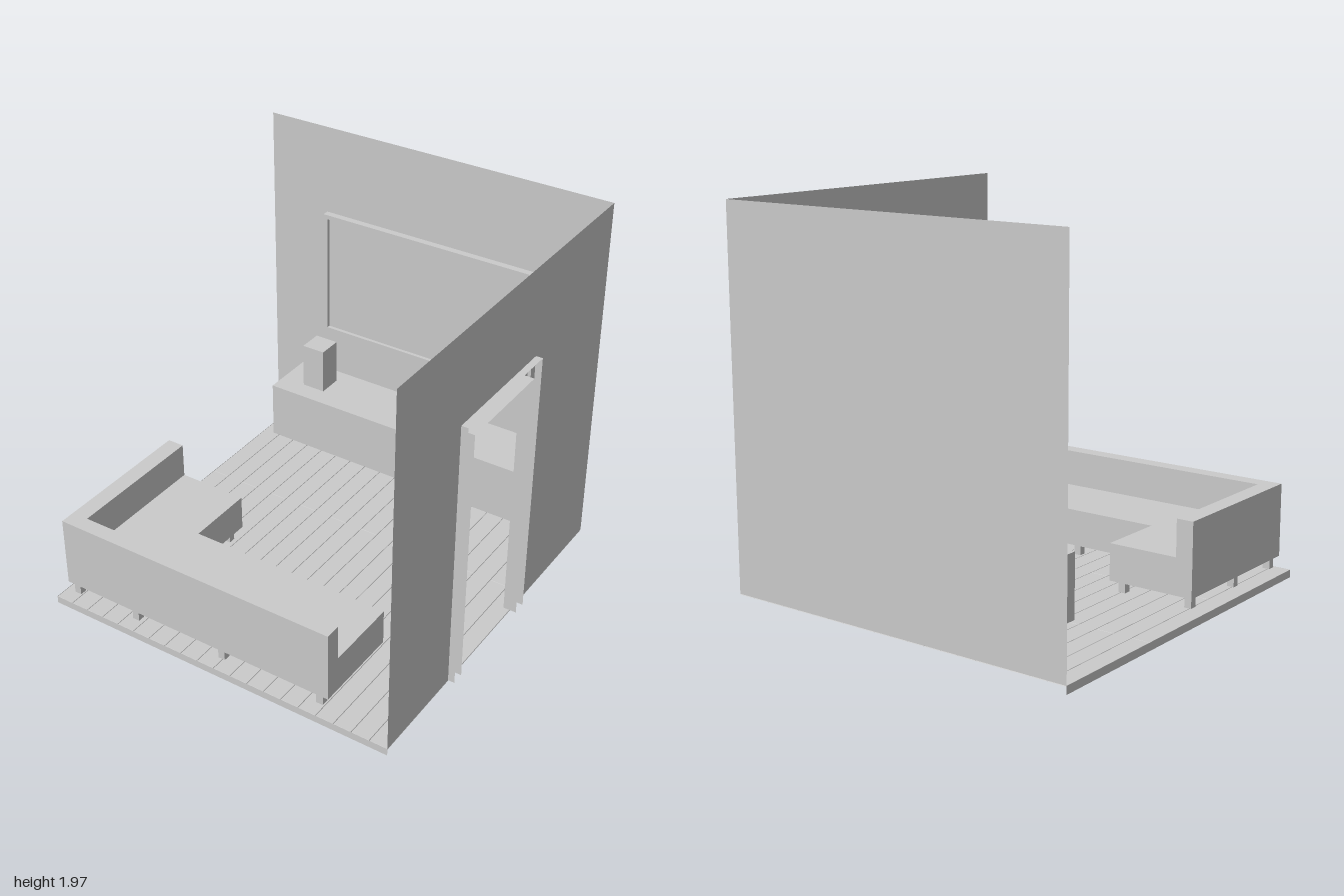
import * as THREE from 'three';

const mat = new THREE.MeshStandardMaterial({ color: 0xcccccc });
const thin = new THREE.MeshStandardMaterial({ color: 0xcccccc, side: THREE.DoubleSide });

function add(parent, name, geometry, material = mat) {
  const mesh = new THREE.Mesh(geometry, material);
  mesh.name = name;
  parent.add(mesh);
  return mesh;
}

// Box given by its min and max on each axis
function box(parent, name, x0, x1, y0, y1, z0, z1) {
  const mesh = add(parent, name, new THREE.BoxGeometry(x1 - x0, y1 - y0, z1 - z0));
  mesh.position.set((x0 + x1) / 2, (y0 + y1) / 2, (z0 + z1) / 2);
  return mesh;
}

function group(parent, name) {
  const g = new THREE.Group();
  g.name = name;
  parent.add(g);
  return g;
}

const polygon = (pts) => new THREE.Shape(pts.map(([x, y]) => new THREE.Vector2(x, y)));

// Open strip: a path in (x, y) swept along +z
function ribbon(path, depth) {
  const p = [];
  for (let i = 0; i + 1 < path.length; i++) {
    const [a, b] = [path[i], path[i + 1]];
    p.push(...a, 0, ...b, 0, ...b, depth, ...a, 0, ...b, depth, ...a, depth);
  }
  const geometry = new THREE.BufferGeometry();
  geometry.setAttribute('position', new THREE.Float32BufferAttribute(p, 3));
  geometry.computeVertexNormals();
  return geometry;
}

const X0 = -1, X1 = 0.965, Z = 0.983, FLOOR = 0.04, TOP = 1.968;

// Plank surface whose rim dips to form a groove with its neighbours
function plank(parent, x0, x1, z0, z1) {
  const w = x1 - x0, d = z1 - z0, rim = 0.002;
  const sheet = new THREE.PlaneGeometry(w, d, 3, 3);
  const pos = sheet.attributes.position;
  for (let i = 0; i < pos.count; i++) {
    const col = i % 4, row = Math.floor(i / 4);
    const edge = col % 3 === 0 || row % 3 === 0;
    const x = (w / 2 - (col % 3 ? rim : 0)) * (col < 2 ? -1 : 1);
    const y = (d / 2 - (row % 3 ? rim : 0)) * (row < 2 ? 1 : -1);
    pos.setXYZ(i, x, y, edge ? -0.004 : 0);
  }
  const geometry = sheet.toNonIndexed();
  geometry.computeVertexNormals();
  geometry.rotateX(-Math.PI / 2);
  add(parent, 'floorPlank', geometry, thin).position.set((x0 + x1) / 2, FLOOR, (z0 + z1) / 2);
}

function buildFloor(root) {
  const floor = group(root, 'floor');
  const count = 20, w = (X1 - X0) / count;
  for (let i = 0; i < count; i++) {
    const a = X0 + i * w;
    const joint = i % 2 ? 0.33 : -0.34; // staggered end joints
    plank(floor, a, a + w, -Z, joint);
    plank(floor, a, a + w, joint, Z);
  }
  // Edge boards along the two open sides
  const edge = ribbon([[X0, Z], [X0, -Z], [X1, -Z]], FLOOR);
  edge.rotateX(-Math.PI / 2);
  add(floor, 'floorEdge', edge, thin);
}

function buildWalls(root) {
  const back = add(root, 'backWall', new THREE.PlaneGeometry(X1 - X0, TOP - FLOOR), thin);
  back.position.set((X0 + X1) / 2, (TOP + FLOOR) / 2, -Z);

  // Side wall and door frame are drawn in (-z, y)
  const side = polygon([[-Z, FLOOR], [-0.40, FLOOR], [-0.40, 1.468], [0.215, 1.468],
    [0.215, FLOOR], [Z, FLOOR], [Z, TOP], [-Z, TOP]]);
  const wall = add(root, 'sideWall', new THREE.ShapeGeometry(side), thin);
  wall.rotation.y = Math.PI / 2;
  wall.position.x = X1;

  // Hollow frame, open on its outer side
  const frame = group(root, 'doorFrame');
  frame.rotation.y = Math.PI / 2;
  frame.position.x = 0.93;
  const outer = [[0.255, FLOOR], [0.255, 1.492], [-0.435, 1.492], [-0.435, FLOOR]];
  const inner = [[-0.37, FLOOR], [-0.37, 1.42], [0.183, 1.42], [0.183, FLOOR]];
  add(frame, 'frameFace', new THREE.ShapeGeometry(polygon([...outer, ...inner])), thin);
  add(frame, 'frameOuterSides', ribbon(outer, 0.07), thin);
  add(frame, 'frameJambs', ribbon(inner, 0.07), thin);
}

function buildDoor(root) {
  // Local x runs from the free edge to the hinge; local z points into the room
  const door = group(root, 'door');
  door.position.set(0.565, 0, -0.037);
  door.rotation.y = -Math.PI / 4;
  const width = 0.552, y0 = 0.052, y1 = 1.412, t = 0.05;
  // Hollow panel, open on its outer side
  const face = add(door, 'doorFace', new THREE.PlaneGeometry(width, y1 - y0), thin);
  face.position.set(width / 2, (y0 + y1) / 2, t / 2);
  const rim = ribbon([[width, y1], [0, y1], [0, y0], [width, y0]], t);
  add(door, 'doorEdges', rim, thin).position.z = -t / 2;

  const profile = [[0.017, 0], [0.014, 0.008], [0.021, 0.018], [0.027, 0.03],
    [0.023, 0.042], [0.012, 0.05], [0, 0.052]];
  const knob = add(door, 'doorKnob',
    new THREE.LatheGeometry(profile.map(([r, h]) => new THREE.Vector2(r, h)), 12), thin);
  knob.rotation.x = Math.PI / 2;
  knob.position.set(0.068, 0.69, t / 2);
}

function buildSofa(root) {
  const sofa = group(root, 'sofa');
  const bottom = 0.12, seat = 0.31, top = 0.5;

  // L-shaped slabs drawn in (x, -z) and raised upward
  const slab = (name, pts, y0, y1) => {
    const geometry = new THREE.ExtrudeGeometry(polygon(pts.map(([x, z]) => [x, -z])),
      { depth: y1 - y0, bevelEnabled: false });
    geometry.rotateX(-Math.PI / 2);
    add(sofa, name, geometry).position.y = y0;
  };
  slab('sofaSeat', [[-0.87, 0.08], [-0.87, 0.85], [0.61, 0.85], [0.61, 0.45],
    [-0.495, 0.45], [-0.495, 0.08]], bottom, seat);
  slab('sofaBackrest', [[-0.96, 0.08], [-0.96, 0.933], [0.61, 0.933], [0.61, 0.85],
    [-0.87, 0.85], [-0.87, 0.08]], bottom, top);

  const legs = [[-0.915, [0.14, 0.54, 0.9]], [-0.54, [0.14, 0.54, 0.9]],
    [-0.013, [0.51, 0.9]], [0.553, [0.51, 0.9]]];
  for (const [x, rows] of legs) {
    for (const z of rows) {
      box(sofa, 'sofaLeg', x - 0.019, x + 0.019, 0.056, bottom, z - 0.019, z + 0.019);
    }
  }
}

function buildMediaWall(root) {
  // Wall-hung bench with a box on it
  box(root, 'bench', -0.805, 0.765, 0.195, 0.51, -0.978, -0.653);
  box(root, 'speaker', -0.667, -0.537, 0.51, 0.76, -0.89, -0.757);

  // Screen with raised border
  const tv = group(root, 'television');
  const border = polygon([[-0.648, 0.785], [0.612, 0.785], [0.612, 1.492], [-0.648, 1.492]]);
  border.holes.push(polygon([[-0.623, 0.808], [-0.623, 1.468], [0.587, 1.468], [0.587, 0.808]]));
  add(tv, 'televisionBorder', new THREE.ExtrudeGeometry(border,
    { depth: 0.037, bevelEnabled: false })).position.z = -0.968;
  box(tv, 'televisionScreen', -0.623, 0.587, 0.808, 1.468, -0.968, -0.95);
}

export function createModel() {
  const root = new THREE.Group();
  root.name = 'livingRoom';
  buildFloor(root);
  buildWalls(root);
  buildDoor(root);
  buildSofa(root);
  buildMediaWall(root);
  return root;
}
